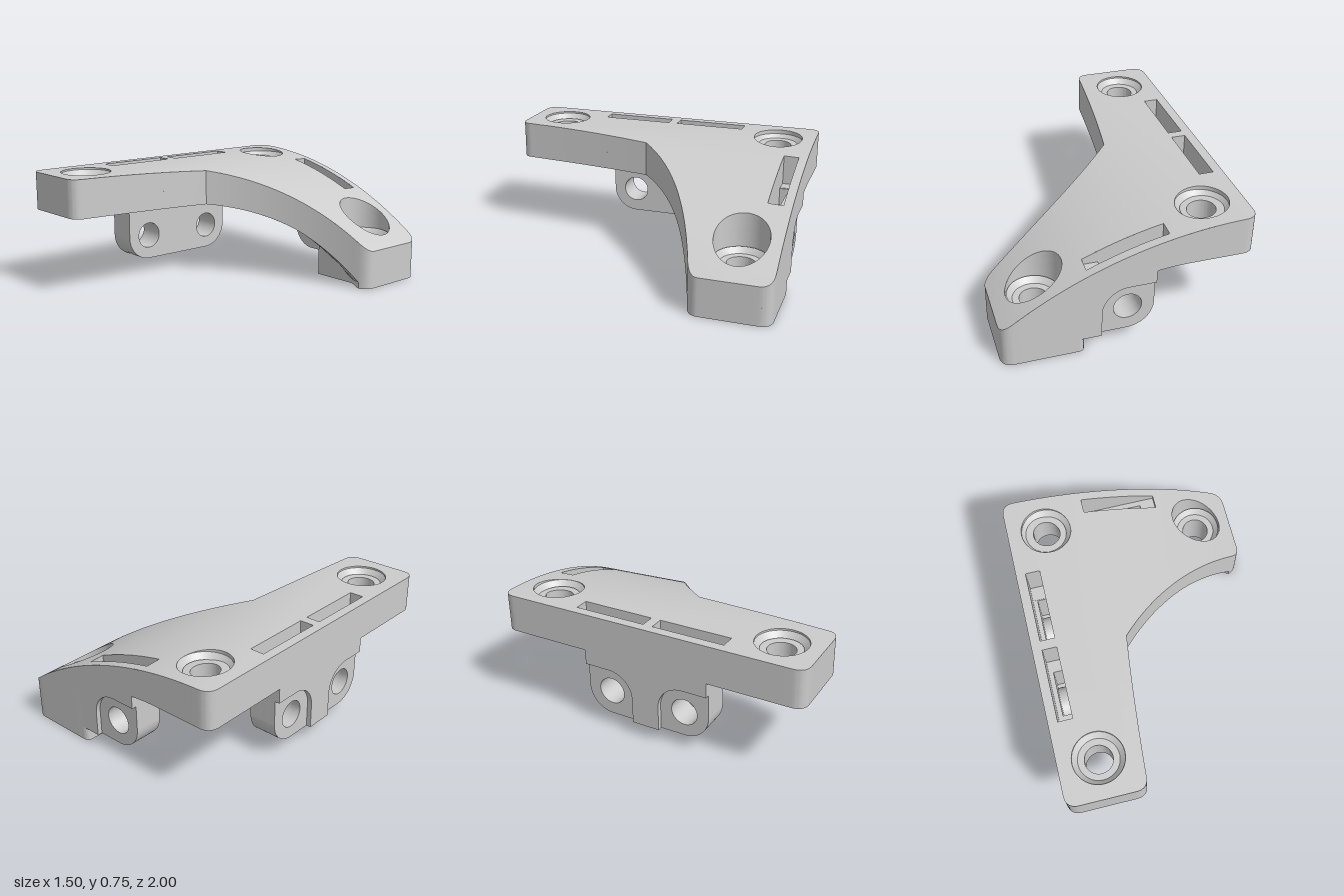
import * as THREE from 'three';
import { toCreasedNormals } from 'three/addons/utils/BufferGeometryUtils.js';

const material = new THREE.MeshStandardMaterial({ color: 0xcccccc, side: THREE.DoubleSide });
const { clamp, smoothstep } = THREE.MathUtils;

// Top: an arc whose flat start slides with z and whose end stays at the right edge
const arc = (x, start, r) => { const t = Math.max(0, x - start); return r - Math.sqrt(r * r - t * t); };
function topY(x, z) {
  const start = -0.5 + 0.25 * z;
  return 0.745 - arc(x, start, (0.75 - start) ** 2 + 0.25);
}
// Underside: a tighter arc that drops a little behind the concave edge
const archY = (x) => Math.max(0, 0.505 - arc(x, -0.35, 1.395));
const SHELF = 0.14;
function baseY(x, z) {
  const edgeZ = -0.28 - 0.44 * (x - 0.2);
  const drop = 0.13 * clamp((edgeZ - z) / 0.12, 0, 1) * smoothstep(x, -0.1, 0.4);
  const y = archY(x + drop);
  return Math.min(z < -0.605 ? Math.max(y, SHELF) : y, topY(x, z) - 0.13);
}

// Closed loops in the x/z plane
const circle = (x, z, r) => new THREE.Path().absarc(x, z, r, 0, Math.PI * 2).getPoints(40).slice(0, -1);
const rect = (x0, x1, z0, z1) =>
  [[x0, z0], [x1, z0], [x1, z1], [x0, z1]].map((c) => new THREE.Vector2(...c));

// Solid between two height functions; the first loop is the outside, the rest are holes
function slab(loops, top, bottom) {
  const pos = [], xs = new Set(), edges = [];
  const A = new THREE.Vector3(), B = new THREE.Vector3(), C = new THREE.Vector3();
  const tri = (...p) => {
    [A, B, C].forEach((v, i) => v.set(...p[i]));
    if (B.sub(A).cross(C.sub(A)).length() > 1e-8) p.forEach((v) => pos.push(...v));
  };
  const quad = (a, b, c, d) => { tri(a, b, c); tri(a, c, d); };
  const at = (x, z, h) => [x, h(x, z), z];
  loops.forEach((loop, i) => {
    const pts = (THREE.ShapeUtils.area(loop) > 0) === (i === 0) ? loop : [...loop].reverse();
    pts.forEach((a, k) => {
      const b = pts[(k + 1) % pts.length];
      const n = Math.max(1, Math.ceil(a.distanceTo(b) / 0.05));
      edges.push([a, b]);
      xs.add(Math.round(a.x * 1e4) / 1e4);
      for (let s = 0; s < n; s++) {
        const p = a.clone().lerp(b, s / n), q = a.clone().lerp(b, (s + 1) / n);
        quad(at(p.x, p.y, top), at(q.x, q.y, top), at(q.x, q.y, bottom), at(p.x, p.y, bottom));
      }
    });
  });
  const min = Math.min(...xs), max = Math.max(...xs);
  for (let i = -14; i < 15; i++) if (i * 0.05 > min && i * 0.05 < max) xs.add(i * 0.05);
  const cols = [...xs].sort((a, b) => a - b);
  const cuts = [-0.85, -0.72, -0.61, -0.6, -0.55, -0.5, -0.45, -0.4, -0.34, -0.28, -0.2, -0.1, 0.04, 0.2, 0.35, 0.5, 0.65, 0.85];
  const zAt = ([a, b], x) => a.y + (b.y - a.y) * clamp((x - a.x) / (b.x - a.x), 0, 1);
  for (let i = 0; i < cols.length - 1; i++) {
    const x0 = cols[i], x1 = cols[i + 1], m = (x0 + x1) / 2;
    const hit = edges.filter(([a, b]) => (a.x < m) !== (b.x < m)).sort((e, f) => zAt(e, m) - zAt(f, m));
    for (let k = 0; k + 1 < hit.length; k += 2) {
      const z = (x, c) => clamp(c, zAt(hit[k], x), zAt(hit[k + 1], x));
      const stops = [-2, ...cuts, 2];
      for (let s = 0; s < stops.length - 1; s++) {
        const c = [[x0, stops[s]], [x0, stops[s + 1]], [x1, stops[s + 1]], [x1, stops[s]]];
        quad(...c.map(([x, t]) => at(x, z(x, t), top)));
        quad(...c.reverse().map(([x, t]) => at(x, z(x, t), bottom)));
      }
    }
  }
  const g = new THREE.BufferGeometry();
  g.setAttribute('position', new THREE.Float32BufferAttribute(pos, 3));
  return toCreasedNormals(g, 0.5);
}

export function createModel() {
  const model = new THREE.Group();
  const add = (name, geometry) => {
    const mesh = new THREE.Mesh(geometry, material);
    mesh.name = name;
    model.add(mesh);
    return mesh;
  };
  const block = (name, x0, x1, y0, y1, z0, z1) =>
    add(name, new THREE.BoxGeometry(x1 - x0, y1 - y0, z1 - z0))
      .position.set((x0 + x1) / 2, (y0 + y1) / 2, (z0 + z1) / 2);
  const flat = (y) => () => y;

  // Bracket outline with rounded corners and a concave inner side
  const rightEnd = (p) => p.lineTo(0.67, -1).quadraticCurveTo(0.75, -1, 0.75, -0.92)
    .lineTo(0.75, -0.57).quadraticCurveTo(0.75, -0.52, 0.69, -0.495);
  const path = rightEnd(new THREE.Path().moveTo(-0.67, -1));
  path.quadraticCurveTo(0.17, -0.32, -0.17, 0.05);
  path.quadraticCurveTo(-0.22, 0.4, -0.26, 0.92).quadraticCurveTo(-0.26, 1, -0.34, 1);
  path.lineTo(-0.67, 1).quadraticCurveTo(-0.75, 1, -0.75, 0.92);
  path.lineTo(-0.75, -0.92).quadraticCurveTo(-0.75, -1, -0.67, -1);
  const outline = path.getPoints(14).slice(0, -1);

  // Plate in three layers: counterbores, screw holes, underside pockets
  const screws = [[-0.505, 0.755], [-0.505, -0.76]];
  const slots = [rect(-0.69, -0.6, 0.03, 0.49), rect(-0.69, -0.6, -0.49, -0.03), rect(-0.24, 0.24, -0.945, -0.85)];
  const bore = circle(0.5, -0.76, 0.165);
  const layer = (d) => (x, z) => topY(x, z) - d;
  const pockets = [rect(-0.7, -0.32, 0.53, 0.95), rect(-0.7, -0.3, -0.95, -0.54)];
  add('plateTop', slab([outline, bore, ...slots, ...screws.map((s) => circle(...s, 0.157))], topY, layer(0.05)));
  add('plateCore', slab([outline, bore, ...slots, ...screws.map((s) => circle(...s, 0.085))], layer(0.05), layer(0.12)));
  add('plateUnderside', slab([outline, bore, ...slots, ...pockets], layer(0.12), baseY));
  block('slotFloor', -0.695, -0.595, 0.506, 0.512, 0.4, 0.495);
  block('slotFloor', -0.695, -0.595, 0.506, 0.512, -0.495, -0.4);
  block('backSlotFloor', -0.245, -0.155, 0.504, 0.512, -0.95, -0.845);

  // Tapered seats in the counterbores
  for (const [x, z, y] of [[...screws[0], 0.7], [...screws[1], 0.685], [0.5, -0.76, 0.262]]) {
    const profile = [[0.125, y], [0.157, y + 0.034]].map((p) => new THREE.Vector2(...p));
    add('screwSeat', new THREE.LatheGeometry(profile, 40)).position.set(x, 0, z);
  }

  // Foot: outer wall, solid cap and bore floor
  const footOuter = rightEnd(new THREE.Path().moveTo(0.3, -1)).lineTo(0.58, -0.56)
    .lineTo(0.3, -0.56).quadraticCurveTo(0.26, -0.56, 0.26, -0.6)
    .lineTo(0.26, -0.96).quadraticCurveTo(0.26, -1, 0.3, -1).getPoints(14).slice(0, -1);
  const footTop = (x, z) => Math.max(archY(x + (z > -0.605 ? 0.13 : 0)), SHELF) + 0.001;
  add('footWall', slab([footOuter, rect(0.305, 0.705, -0.955, -0.61)], flat(SHELF), flat(0)));
  add('footCap', slab([footOuter, bore], (x, z) => Math.min(footTop(x, z), topY(x, z) - 0.06), flat(SHELF)));
  add('footBoreFloor', slab([circle(0.5, -0.76, 0.166), circle(0.5, -0.76, 0.085)], flat(0.26), flat(SHELF)));

  // Ringed screw bosses with four ribs each
  const bosses = [[...screws[0], 0.506, 0.63, 0.2], [...screws[1], 0.506, 0.63, 0.2], [0.5, -0.76, 0, SHELF, 0.2]];
  for (const [x, z, y0, y1, reach] of bosses) {
    add('screwBoss', slab([circle(x, z, 0.125), circle(x, z, 0.085)], flat(y1), flat(y0)));
    for (const s of [-1, 1]) {
      const near = Math.min(s * 0.11, s * reach), far = Math.max(s * 0.11, s * reach);
      block('bossRib', x + near, x + far, y0 + 0.01, y1, z - 0.02, z + 0.02);
      block('bossRib', x - 0.02, x + 0.02, y0 + 0.01, y1, z + near, z + far);
    }
  }

  // Hanging lugs with bolt holes; a hollow layer opens to the slots, round the bolt collars
  function lugShape(u0, u1, y0, holes, roundEnd, hollow) {
    const s = new THREE.Shape(), r = 0.16, n = 0.115, w = 0.145;
    s.moveTo(u0, 0.51).lineTo(u0, 0.25).absarc(u0 + r, 0.25, r, Math.PI, Math.PI * 1.5);
    if (roundEnd) s.absarc(u1 - r, 0.25, r, Math.PI * 1.5, Math.PI * 2);
    else s.lineTo(u1, 0.09);
    s.lineTo(u1, 0.51);
    if (hollow) {
      for (const u of holes) {
        s.lineTo(u + w, 0.51).lineTo(u + w, 0.25).lineTo(u + n, 0.25).absarc(u, 0.25, n, 0, Math.PI);
        s.lineTo(u - w, 0.25).lineTo(u - w, 0.51);
      }
    }
    const shape = new THREE.Shape(s.getPoints(16).map((p) => new THREE.Vector2(p.x, Math.max(p.y, y0))));
    holes.forEach((u) => shape.holes.push(new THREE.Path().absarc(u, 0.25, 0.085, 0, Math.PI * 2, true)));
    return shape;
  }
  const extrude = (shape, depth) =>
    toCreasedNormals(new THREE.ExtrudeGeometry(shape, { depth, bevelEnabled: false, curveSegments: 20 }), 0.5);
  // Layers across the lug; the middle one leaves a groove along its lower edge
  const layers = [[0.03, 0.06, 0.09, false], [0.09, 0.06, 0.125, true], [0.15, 0.06, 0.09, false]];
  for (const [offset, depth, y0, hollow] of layers) {
    const side = add('sideLug', extrude(lugShape(-0.41, 0.41, y0, [0.25, -0.25], true, hollow), depth));
    side.rotation.y = Math.PI / 2;
    side.position.x = -0.75 + offset;
    add('backLug', extrude(lugShape(-0.16, 0.28, y0, [0], false, hollow), depth)).position.z = -1 + offset;
  }

  // Raised outer faces, leaving arched recesses around the bolt holes
  const face = new THREE.Shape();
  face.moveTo(-0.41, 0.51).lineTo(-0.41, 0.41).lineTo(-0.25, 0.41);
  face.absarc(-0.25, 0.25, 0.16, Math.PI / 2, 0, true).lineTo(-0.09, 0.09).lineTo(0.09, 0.09);
  face.lineTo(0.09, 0.25).absarc(0.25, 0.25, 0.16, Math.PI, Math.PI / 2, true);
  face.lineTo(0.41, 0.41).lineTo(0.41, 0.51);
  const sideFace = add('sideLugFace', extrude(face, 0.03));
  sideFace.rotation.y = Math.PI / 2;
  sideFace.position.x = -0.75;
  const back = new THREE.Shape();
  back.moveTo(-0.16, 0.51).lineTo(-0.16, 0.41).lineTo(0, 0.41);
  back.absarc(0, 0.25, 0.16, Math.PI / 2, 0, true).lineTo(0.16, 0.09).lineTo(0.32, 0.09);
  back.lineTo(0.32, 0.36).lineTo(0, 0.51);
  add('backLugFace', extrude(back, 0.03)).position.z = -1;

  return model;
}
